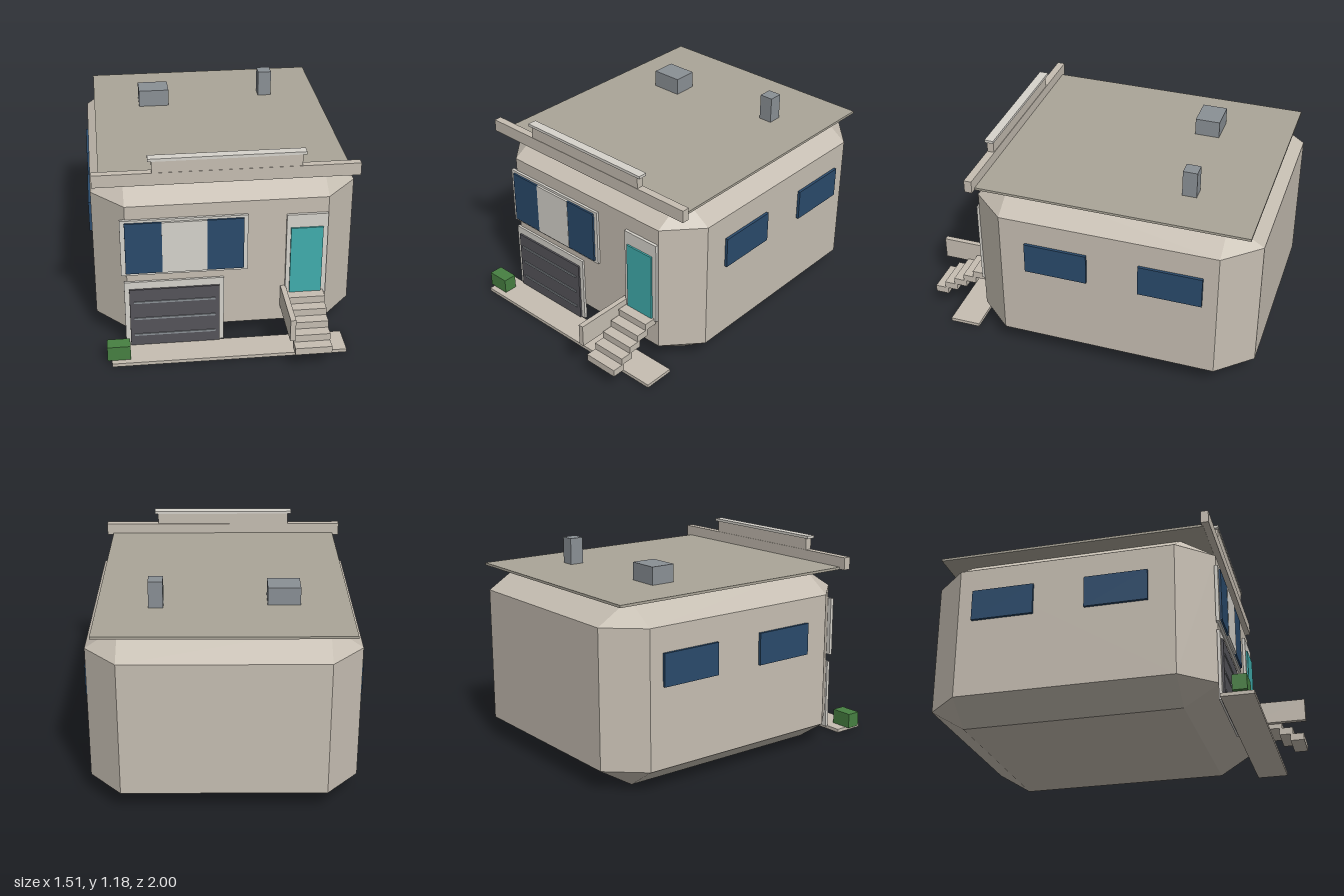
import * as THREE from 'three';
import { ConvexGeometry } from 'three/addons/geometries/ConvexGeometry.js';

const mat = (color) => new THREE.MeshStandardMaterial({ color, flatShading: true });
const wall = mat(0xc6beb2), trim = mat(0xd6d3cc), roofTone = mat(0xaaa598), glass = mat(0x2a4a6b),
  shutter = mat(0x55545a), metal = mat(0x8a9095), teal = mat(0x40adad), leaf = mat(0x478042);

export function createModel() {
  const house = new THREE.Group();
  house.name = 'house';

  // Box given by its extents along each axis
  const box = (name, material, [x0, x1], [y0, y1], [z0, z1]) => {
    const mesh = new THREE.Mesh(new THREE.BoxGeometry(x1 - x0, y1 - y0, z1 - z0), material);
    mesh.position.set((x0 + x1) / 2, (y0 + y1) / 2, (z0 + z1) / 2);
    mesh.name = name;
    house.add(mesh);
    return mesh;
  };

  // Body: a block with every edge and corner chamfered
  const half = [0.737, 0.51, 0.82], cut = [0.177, 0.122, 0.197];
  const corners = [];
  for (const sx of [-1, 1]) for (const sy of [-1, 1]) for (const sz of [-1, 1])
    for (let full = 0; full < 3; full++) {
      const p = [sx, sy, sz].map((s, i) => s * (half[i] - (i === full ? 0 : cut[i])));
      corners.push(new THREE.Vector3(...p));
    }
  const body = new THREE.Mesh(new ConvexGeometry(corners), wall);
  body.position.set(0, 0.51, -0.18);
  body.name = 'body';
  house.add(body);

  // Roof slab, stepped parapet and roof boxes
  box('roof', roofTone, [-0.69, 0.69], [1.018, 1.032], [-0.95, 0.6]);
  box('parapet', wall, [-0.728, 0.728], [1.02, 1.092], [0.593, 0.637]);
  box('parapetUpper', wall, [-0.407, 0.407], [1.092, 1.16], [0.596, 0.635]);
  box('parapetCap', trim, [-0.427, 0.427], [1.16, 1.176], [0.588, 0.64]);
  box('roofUnit', metal, [-0.418, -0.238], [1.03, 1.132], [-0.548, -0.405]);
  box('roofVent', metal, [0.328, 0.408], [1.03, 1.185], [-0.585, -0.503]);

  // Wide front window with two dark panes and a light middle
  box('windowFrame', trim, [-0.59, 0.113], [0.477, 0.82], [0.635, 0.655]);
  box('windowMiddle', trim, [-0.362, -0.113], [0.493, 0.806], [0.65, 0.668]);
  for (const x of [-0.565, -0.115]) box('windowPane', glass, [x, x + 0.205], [0.493, 0.806], [0.65, 0.666]);

  // Garage
  box('garageFrame', trim, [-0.577, -0.02], [0.02, 0.43], [0.635, 0.653]);
  box('garageDoor', shutter, [-0.55, -0.045], [0.02, 0.386], [0.645, 0.664]);
  for (const y of [0.09, 0.197, 0.304]) box('garageRib', metal, [-0.527, -0.07], [y - 0.006, y + 0.006], [0.655, 0.669]);

  // Front door
  box('doorFrame', trim, [0.327, 0.557], [0.3, 0.805], [0.635, 0.657]);
  box('door', teal, [0.35, 0.53], [0.31, 0.726], [0.645, 0.667]);

  // Floating steps and the wall beside them
  for (let i = 0; i < 5; i++) {
    const y = 0.105 + i * 0.042, z = 0.9 - i * 0.0635;
    box('step', wall, [0.338, 0.543], [y, y + 0.042], [z, z + 0.08]);
  }
  box('stairWall', wall, [0.302, 0.332], [0.215, 0.346], [0.64, 1]);

  // Pavement and planter
  box('pavement', wall, [-0.664, 0.66], [0, 0.02], [0.655, 0.835]);
  box('bush', leaf, [-0.688, -0.558], [0.02, 0.107], [0.722, 0.802]);

  // Side windows, mirrored
  for (const s of [-1, 1]) for (const z of [0.115, -0.54]) {
    const pane = box('sideWindow', glass, [0.73, 0.753], [0.575, 0.757], [z - 0.18, z + 0.18]);
    pane.position.x *= s;
  }
  return house;
}
